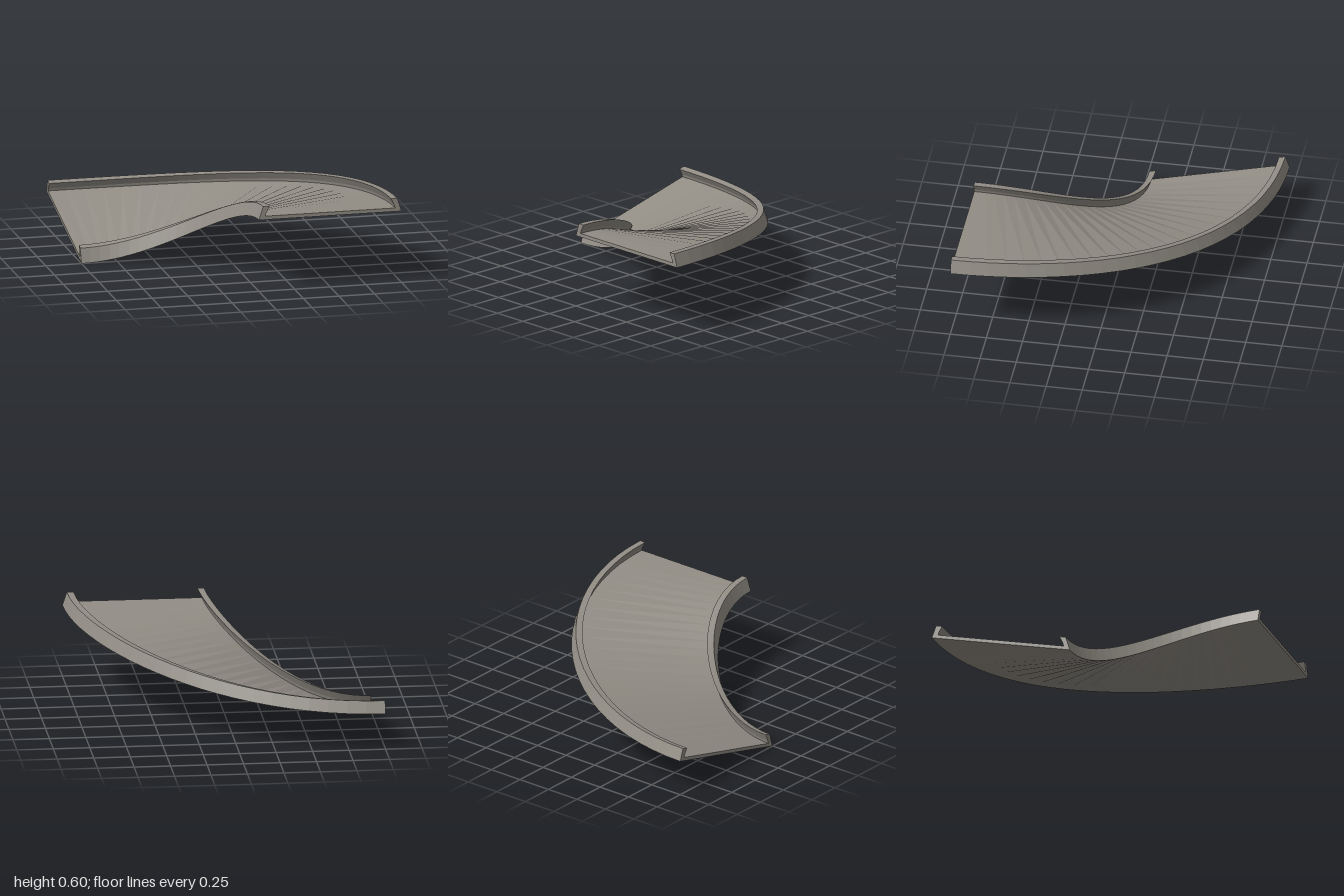
import * as THREE from 'three';

const SEGMENTS = 24;

// Point on the banked quarter turn: r runs 0 (inner edge) to 1 (outer edge), h is height above the underside
function bend(r, h, t) {
  const R = 1 + r;
  const climb = Math.sin(t) ** 2;
  const y = THREE.MathUtils.lerp(0.25 * r, 0.503, climb) + h;
  return [-1 + R * Math.sin(t), y, 1 - R * Math.cos(t)];
}

// Sweeps a counter-clockwise [r, h] cross-section around the turn and closes both ends
function sweep(profile) {
  const positions = [];
  const add = (...corners) => corners.forEach(([p, t]) => positions.push(...bend(p[0], p[1], t)));
  const angle = (i) => (i / SEGMENTS) * Math.PI / 2;

  for (let i = 0; i < SEGMENTS; i++) {
    const t0 = angle(i), t1 = angle(i + 1);
    profile.forEach((a, j) => {
      const b = profile[(j + 1) % profile.length];
      add([a, t0], [b, t0], [b, t1]);
      add([a, t0], [b, t1], [a, t1]);
    });
  }

  // End caps
  const contour = profile.map(([r, h]) => new THREE.Vector2(r, h));
  for (const [a, b, c] of THREE.ShapeUtils.triangulateShape(contour, [])) {
    const [p, q, s] = [profile[a], profile[b], profile[c]];
    add([p, angle(SEGMENTS)], [q, angle(SEGMENTS)], [s, angle(SEGMENTS)]);
    add([p, 0], [s, 0], [q, 0]);
  }

  const geometry = new THREE.BufferGeometry();
  geometry.setAttribute('position', new THREE.Float32BufferAttribute(positions, 3));
  geometry.computeVertexNormals();
  return geometry;
}

export function createModel() {
  const group = new THREE.Group();
  group.name = 'bankedCurve';

  const concrete = new THREE.MeshStandardMaterial({ color: 0x928d85 });
  concrete.name = 'warm grey concrete';
  concrete.flatShading = true;

  const addPart = (name, profile) => {
    const mesh = new THREE.Mesh(sweep(profile), concrete);
    mesh.name = name;
    group.add(mesh);
  };

  // Thin road deck
  addPart('deck', [[0, 0], [1, 0], [0.955, 0.025], [0.045, 0.025]]);

  // Leaning kerb rails, undercut on the road side
  const rail = [[0, 0], [0.045, 0.025], [0.05, 0.045], [0.075, 0.093], [0.03, 0.093]];
  addPart('innerRail', rail);
  addPart('outerRail', rail.map(([r, h]) => [1 - r, h]).reverse());

  return group;
}
